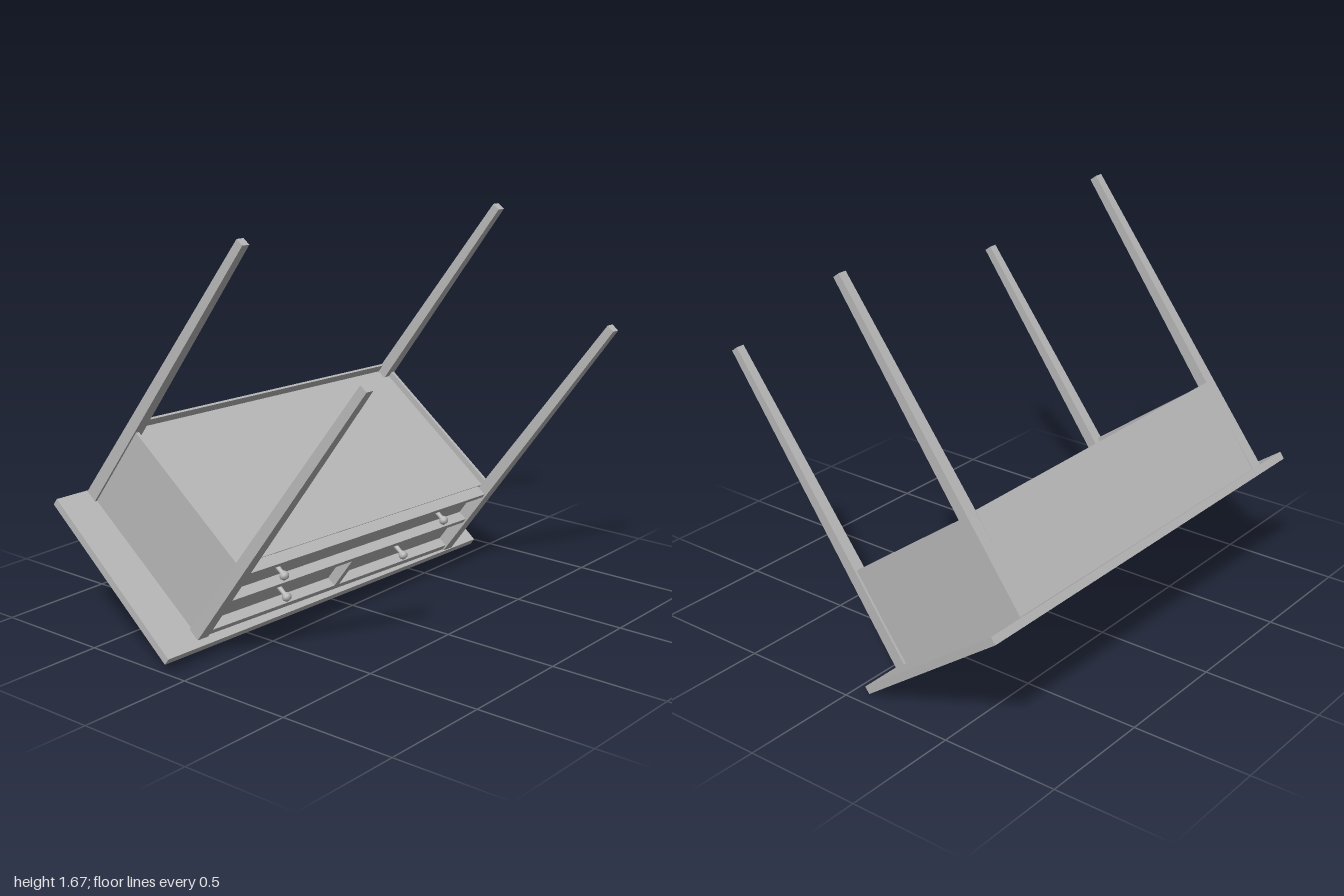
import * as THREE from 'three';

export function createModel() {
  const grey = new THREE.MeshStandardMaterial({ color: 0xb8b8b8 });
  grey.name = 'plain grey';
  const desk = new THREE.Group();
  desk.name = 'upturnedDesk';

  const add = (name, geometry) => {
    const mesh = new THREE.Mesh(geometry, grey);
    mesh.name = name;
    desk.add(mesh);
    return mesh;
  };
  // Box from its lower and upper limits on each axis
  const slab = (name, x0, x1, y0, y1, z0, z1) =>
    add(name, new THREE.BoxGeometry(x1 - x0, y1 - y0, z1 - z0))
      .position.set((x0 + x1) / 2, (y0 + y1) / 2, (z0 + z1) / 2);

  // Desk top, slightly skewed, lying face down
  const top = new THREE.BoxGeometry(1.94, 0.033, 0.83);
  const p = top.attributes.position;
  for (let i = 0; i < p.count; i++) {
    const x = p.getX(i), z = p.getZ(i);
    p.setX(i, x - 0.027 * z);
    p.setZ(i, z - 0.017 * x);
  }
  top.computeVertexNormals();
  add('deskTop', top);

  // Tapered square legs: centre and width at the base, then at the tip
  const leg = (name, bx, bz, tx, tz) => {
    const y0 = 0.0165, y1 = 1.42;
    const g = new THREE.BoxGeometry(1, y1 - y0, 1);
    g.translate(0, (y0 + y1) / 2, 0);
    const q = g.attributes.position;
    for (let i = 0; i < q.count; i++) {
      const tip = q.getY(i) > 0.5;
      const w = tip ? 0.036 : 0.056;
      q.setX(i, q.getX(i) * w + (tip ? tx : bx));
      q.setZ(i, q.getZ(i) * w + (tip ? tz : bz));
    }
    g.computeVertexNormals();
    add(name, g);
  };
  leg('frontLeftLeg', 0.76, 0.37, 0.756, 0.387);
  leg('frontRightLeg', -0.773, 0.37, -0.777, 0.387);
  leg('backLeftLeg', 0.76, -0.369, 0.756, -0.357);
  leg('backRightLeg', -0.773, -0.369, -0.777, -0.357);

  // Case: side panels, back panel, inner ledge and bottom board
  slab('leftPanel', 0.762, 0.777, 0.0165, 0.425, -0.345, 0.345);
  slab('rightPanel', -0.79, -0.775, 0.0165, 0.425, -0.345, 0.345);
  slab('backPanel', -0.75, 0.737, 0.0165, 0.43, -0.393, -0.383);
  slab('backLedge', -0.75, 0.737, 0.37, 0.393, -0.383, -0.335);
  slab('bottomBoard', -0.776, 0.763, 0.385, 0.398, -0.34, 0.342);

  // Front frame around the drawers
  [[0.0165, 0.045], [0.205, 0.2275], [0.375, 0.395]].forEach(([y0, y1], i) =>
    slab('frontRail' + (i + 1), -0.75, 0.737, y0, y1, 0.335, 0.391));
  slab('drawerDivider', -0.02, 0.01, 0.045, 0.205, 0.335, 0.391);

  // Recessed drawer fronts
  slab('wideDrawer', -0.75, 0.737, 0.2275, 0.375, 0.333, 0.347);
  slab('smallDrawerRight', -0.75, -0.02, 0.045, 0.205, 0.333, 0.347);
  slab('smallDrawerLeft', 0.01, 0.737, 0.045, 0.205, 0.333, 0.347);

  // Turned drawer knobs
  const knob = new THREE.LatheGeometry([
    [0.011, 0], [0.009, 0.04], [0.018, 0.053], [0.02, 0.064], [0.014, 0.074], [0, 0.078],
  ].map(([r, y]) => new THREE.Vector2(r, y)), 16);
  knob.rotateX(Math.PI / 2);
  [[-0.51, 0.317], [0.49, 0.317], [-0.377, 0.129], [0.355, 0.129]].forEach(([x, y]) =>
    add('drawerKnob', knob).position.set(x, y, 0.346));

  // Tip the whole desk onto its front edge
  const across = new THREE.Vector3(1, -0.029, 0.033).normalize();
  const forward = new THREE.Vector3(-0.044, -0.588, 0.808).normalize();
  const up = forward.clone().cross(across).normalize();
  forward.crossVectors(across, up);
  desk.applyMatrix4(new THREE.Matrix4().makeBasis(across, up, forward));
  desk.position.set(0, 0.275, -0.41);

  const model = new THREE.Group();
  model.name = 'tippedDesk';
  model.add(desk);
  return model;
}
